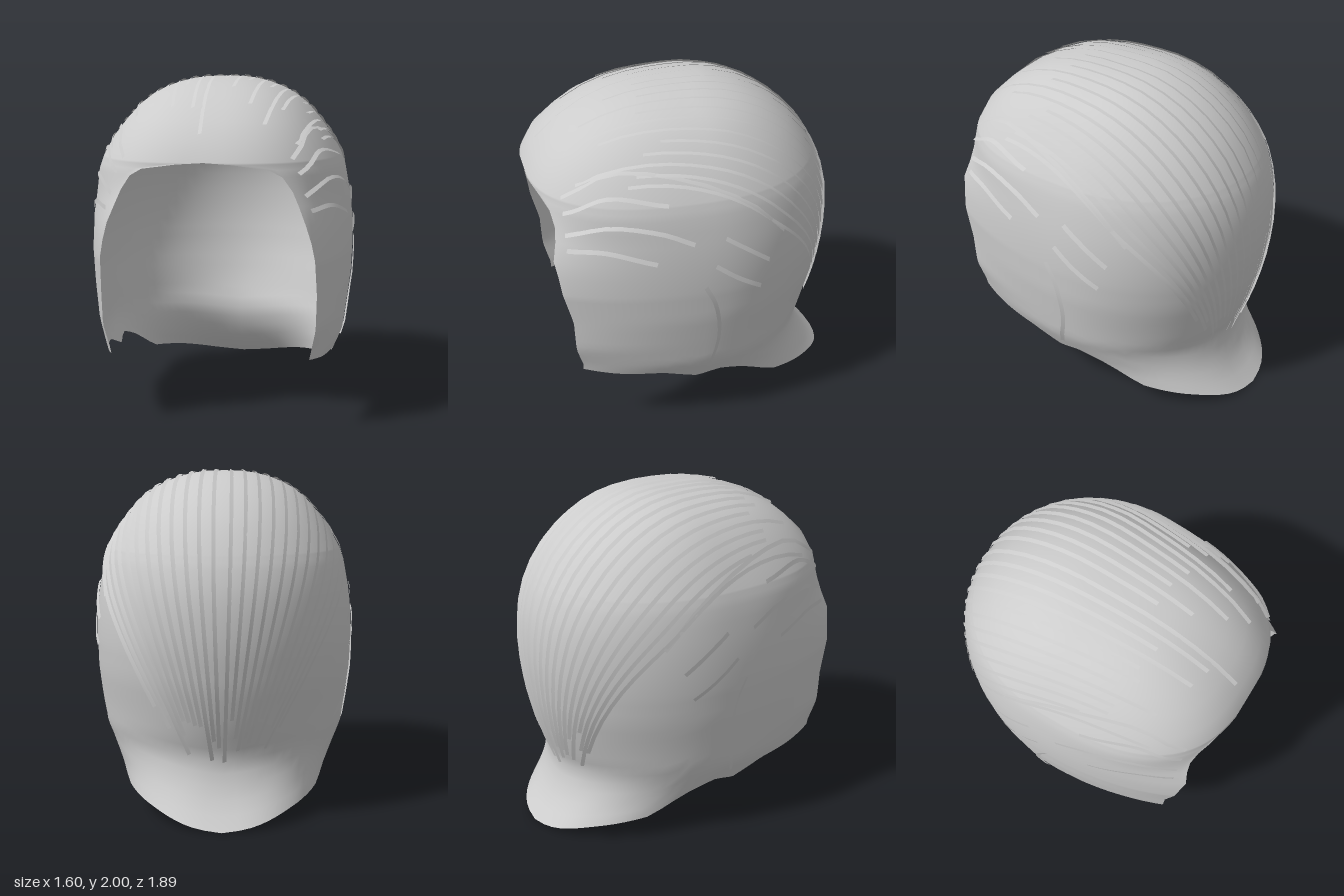
import * as THREE from 'three';
import { mergeVertices } from 'three/addons/utils/BufferGeometryUtils.js';

// Horizontal slices of the hair: height, half width, front depth, back depth, half width of face opening
const SLICES = [
  [0.00, 0.60, 1.20, 0.95, 0.55], [0.08, 0.61, 1.20, 0.87, 0.55], [0.15, 0.62, 1.20, 0.82, 0.55],
  [0.25, 0.645, 1.22, 0.77, 0.55], [0.38, 0.705, 1.24, 0.75, 0.56], [0.45, 0.735, 1.20, 0.78, 0.575],
  [0.60, 0.755, 1.32, 0.83, 0.605], [0.80, 0.78, 1.28, 0.875, 0.61], [1.00, 0.788, 1.31, 0.897, 0.60],
  [1.10, 0.785, 1.28, 0.90, 0.58], [1.20, 0.778, 1.205, 0.895, 0.55], [1.30, 0.765, 1.09, 0.885, 0.51],
  [1.38, 0.75, 1.007, 0.865, 0.475], [1.46, 0.735, 0.96, 0.84, 0.42], [1.50, 0.72, 0.955, 0.82, 0.35],
  [1.53, 0.71, 0.95, 0.805, 0.15], [1.54, 0.705, 0.945, 0.80, 0], [1.65, 0.645, 0.89, 0.735, 0],
  [1.75, 0.57, 0.79, 0.645, 0], [1.83, 0.50, 0.69, 0.55, 0], [1.89, 0.425, 0.58, 0.455, 0],
  [1.93, 0.35, 0.49, 0.37, 0], [1.96, 0.27, 0.39, 0.29, 0], [1.98, 0.19, 0.28, 0.20, 0],
  [1.99, 0.12, 0.18, 0.13, 0], [1.995, 0, 0, 0, 0],
];
// Roundness of the slices in front of and behind the ears, by height
const FRONT_POWER = [[0, 2], [1.1, 2], [1.3, 2.2], [1.46, 2.6], [2, 2.6]];
const BACK_POWER = [[0, 2.7], [0.15, 2.5], [0.4, 1.95], [0.6, 1.9], [0.9, 2], [1.4, 2.1], [2, 2.1]];
// Lower edge height, from the temple (0) past the ear (0.5) to the nape (1)
const HEM = [[0, 0.42], [0.15, 0.39], [0.32, 0.38], [0.45, 0.30], [0.53, 0.34],
  [0.575, 0.30], [0.66, 0.15], [0.81, 0.09], [0.93, 0.03], [1, 0.005]];
// Side strands as [height, depth] points
const SIDE_STRANDS = [
  [[1.55, 0.8], [1.69, 0.55], [1.67, 0.2], [1.5, -0.2], [1.27, -0.43]],
  [[1.47, 0.8], [1.58, 0.57], [1.54, 0.25]],
  [[1.35, 0.8], [1.43, 0.57], [1.39, 0.3], [1.31, 0.12]],
  [[1.27, 0.8], [1.28, 0.6], [1.21, 0.33]],
  [[1.32, -0.06], [1.22, -0.2], [1.12, -0.33]],
  [[1.16, 0], [1.06, -0.13], [0.96, -0.28]],
  [[1.03, 0.06], [0.9, 0], [0.66, -0.03], [0.4, 0.02]],
];

function sample(table, k) {
  let i = 0;
  while (i < table.length - 2 && k > table[i + 1][0]) i++;
  const a = table[i], b = table[i + 1];
  const f = THREE.MathUtils.clamp((k - a[0]) / (b[0] - a[0]), 0, 1);
  return a.map((v, j) => v + (b[j] - v) * f);
}
const frontPower = (y) => sample(FRONT_POWER, y)[1];
const backPower = (y) => sample(BACK_POWER, y)[1];

// Point on the shell: q = 0 at the face opening, 0.5 at the side, 1 at the back
function shellPoint(q, y, side) {
  const [, w, zf, zb, open] = sample(SLICES, y);
  if (q <= 0.5) {
    const e = 2 / frontPower(y);
    const p0 = w > 0 ? Math.asin(Math.min(1, (open / w) ** (1 / e))) : 0;
    const p = p0 + (Math.PI / 2 - p0) * q * 2;
    return [side * w * Math.sin(p) ** e, y, zf * Math.max(0, Math.cos(p)) ** e];
  }
  const e = 2 / backPower(y), p = (q - 0.5) * Math.PI;
  return [side * w * Math.max(0, Math.cos(p)) ** e, y, -zb * Math.sin(p) ** e];
}

function gridGeometry(positions, columns) {
  const index = [], rows = positions.length / 3 / columns;
  for (let r = 0; r < rows - 1; r++) {
    for (let c = 0; c < columns - 1; c++) {
      const a = r * columns + c, b = a + columns;
      index.push(a, b, a + 1, a + 1, b, b + 1);
    }
  }
  let geometry = new THREE.BufferGeometry();
  geometry.setAttribute('position', new THREE.Float32BufferAttribute(positions, 3));
  geometry.setIndex(index);
  geometry = mergeVertices(geometry, 1e-4);
  geometry.computeVertexNormals();
  return geometry;
}

// Open shell with a face opening and a flared nape
function shellGeometry() {
  const half = 36, columns = half * 2 + 1, low = 14, positions = [];
  const upper = SLICES.map((s) => s[0]).filter((y) => y > 1);
  for (let r = 0; r <= low + upper.length; r++) {
    for (let c = 0; c < columns; c++) {
      const q = 1 - Math.abs(c - half) / half;
      const hem = sample(HEM, q)[1];
      const y = r <= low ? hem + (1 - hem) * (r / low) : upper[r - low - 1];
      positions.push(...shellPoint(q, y, c < half ? -1 : 1));
    }
  }
  return gridGeometry(positions, columns);
}

// Share of the slice size reached at a point: under 1 is inside the shell
function fill(x, y, z) {
  const [, w, zf, zb] = sample(SLICES, y);
  const n = z > 0 ? frontPower(y) : backPower(y);
  return (Math.abs(x) / w) ** n + (Math.abs(z) / (z > 0 ? zf : zb)) ** n;
}

// Largest t for which the point at(t) is still inside the shell
function reach(at) {
  let lo = 0, hi = 1.7;
  for (let i = 0; i < 30; i++) {
    const t = (lo + hi) / 2, p = at(t);
    if (p.y > 0 && p.y < 1.99 && fill(p.x, p.y, p.z) < 1) lo = t; else hi = t;
  }
  return at(lo);
}

// Thin ribbon lying on the shell with one edge slightly lifted
function ribbonGeometry(path, width) {
  const positions = [];
  path.forEach((p, i) => {
    const along = path[Math.min(i + 1, path.length - 1)].clone().sub(path[Math.max(i - 1, 0)]);
    const out = p.clone().sub(new THREE.Vector3(0, 1, 0)).normalize();
    const across = along.cross(out).normalize().multiplyScalar(width / 2);
    const a = p.clone().sub(across).addScaledVector(out, 0.004);
    const b = p.clone().add(across).addScaledVector(out, 0.012);
    positions.push(...a.toArray(), ...b.toArray());
  });
  return gridGeometry(positions, 2);
}

// Strand sweeping from the hairline over the head and gathering at the nape
function strandPath(spread, from, to) {
  const path = [], steps = 20;
  for (let i = 0; i <= steps; i++) {
    const s = from + (to - from) * (i / steps);
    const b = THREE.MathUtils.degToRad(35 + 187 * s);
    const ends = s < 0.5 ? 0.55 : 0.24;
    const a = spread * (ends + (1 - ends) * Math.sin(Math.PI * s));
    const dir = new THREE.Vector3(Math.sin(a), Math.cos(a) * Math.sin(b), Math.cos(a) * Math.cos(b));
    path.push(reach((t) => new THREE.Vector3(0, 1, 0).addScaledVector(dir, t)));
  }
  return path;
}

// Strand drawn on one side of the head
function sidePath(points, side) {
  const curve = new THREE.CatmullRomCurve3(points.map(([y, z]) => new THREE.Vector3(0, y, z)));
  return curve.getPoints(10).map((p) => reach((t) => new THREE.Vector3(side * t, p.y, p.z)));
}

export function createModel() {
  const model = new THREE.Group();
  model.name = 'hair';
  const hair = new THREE.MeshStandardMaterial({ color: 0xcccccc, side: THREE.DoubleSide });
  hair.name = 'hairGrey';
  const add = (name, geometry, parent) => {
    const mesh = new THREE.Mesh(geometry, hair);
    mesh.name = name;
    parent.add(mesh);
  };
  add('hairShell', shellGeometry(), model);

  let seed = 7;
  const random = () => (seed = (seed * 16807) % 2147483647) / 2147483647;
  const strands = new THREE.Group();
  strands.name = 'strands';
  model.add(strands);

  for (const side of [-1, 1]) {
    // Long strands with uneven ends
    for (let i = 0; i < 12; i++) {
      const from = 0.02 + random() * 0.2, to = 0.88 + random() * 0.12;
      add('longStrand', ribbonGeometry(strandPath(side * (0.05 + i * 0.082), from, to), 0.022), strands);
    }
    // Short strands at the temples and around the ears
    for (const points of SIDE_STRANDS) {
      add('sideStrand', ribbonGeometry(sidePath(points, side), 0.025), strands);
    }
  }
  return model;
}
